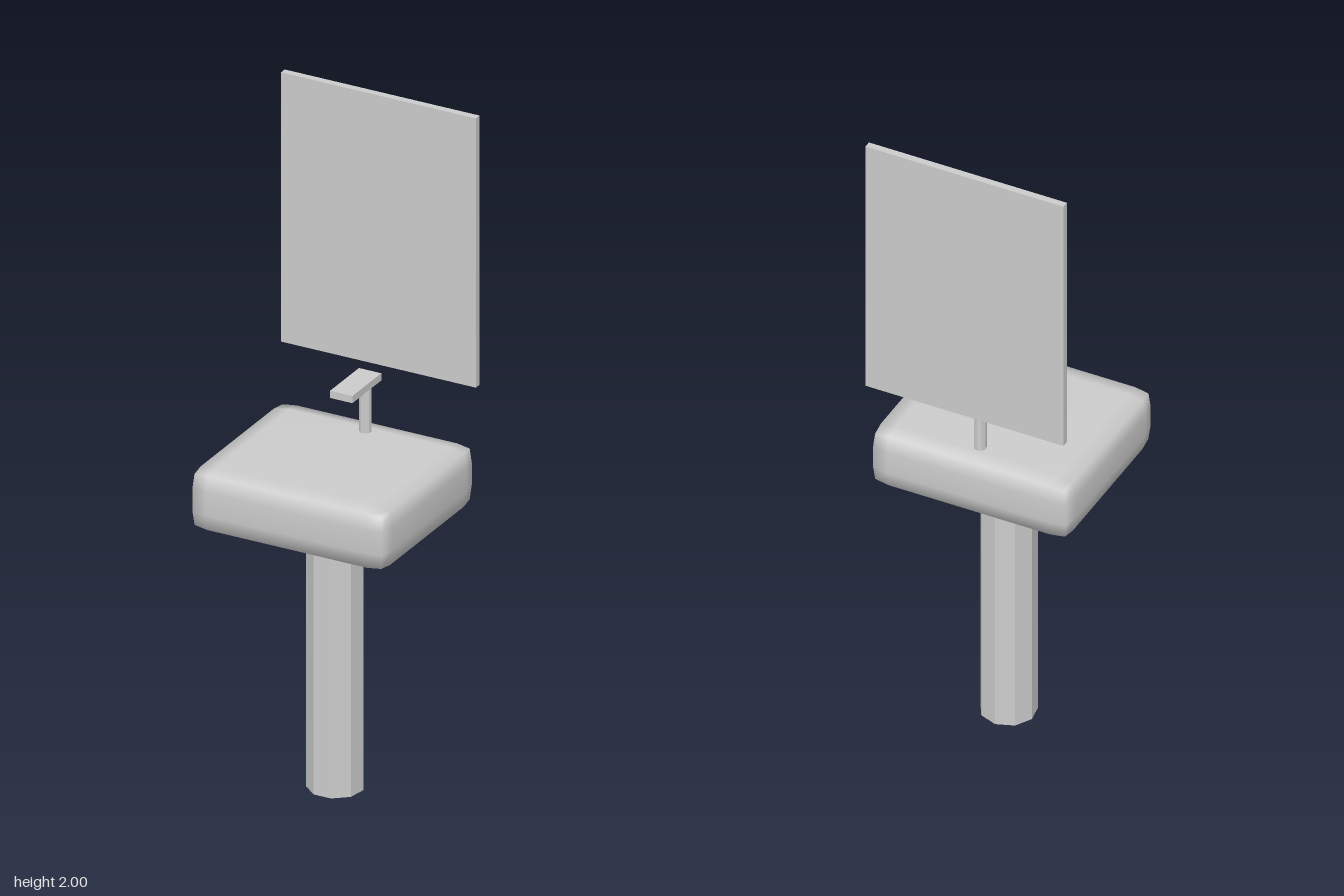
import * as THREE from 'three';
import { RoundedBoxGeometry } from 'three/addons/geometries/RoundedBoxGeometry.js';
import { mergeVertices } from 'three/addons/utils/BufferGeometryUtils.js';

const smooth = new THREE.MeshStandardMaterial({ color: 0xcccccc });
const faceted = new THREE.MeshStandardMaterial({ color: 0xcccccc, flatShading: true });

function part(name, geometry, material, x, y, z) {
  const mesh = new THREE.Mesh(geometry, material);
  mesh.name = name;
  mesh.position.set(x, y, z);
  return mesh;
}

// Two-step bevelled box whose bevel follows a squarish superellipse
function pillowBox(w, h, d, r, power) {
  let g = new RoundedBoxGeometry(w, h, d, 1, r);
  const half = [w / 2 - r, h / 2 - r, d / 2 - r];
  const p = g.attributes.position;
  for (let i = 0; i < p.count; i++) {
    const v = [p.getX(i), p.getY(i), p.getZ(i)];
    const off = v.map((c, k) => Math.max(0, Math.abs(c) - half[k]) / r);
    const len = off.reduce((s, o) => s + o ** power, 0) ** (1 / power);
    const q = v.map((c, k) => Math.sign(c) * (half[k] + (r * off[k]) / len));
    p.setXYZ(i, ...q);
  }
  g.deleteAttribute('uv');
  g.deleteAttribute('normal');
  g = mergeVertices(g, 1e-4);
  g.computeVertexNormals();
  return g;
}

// Nine-sided column with one corner pointing to the back
const column = (r, h) => new THREE.CylinderGeometry(r, r, h, 9, 1, false, Math.PI);

export function createModel() {
  const group = new THREE.Group();
  group.name = 'pedestalSinkWithMirror';

  group.add(part('pedestal', column(0.081, 0.84), faceted, 0, 0.42, -0.01));
  group.add(part('basin', pillowBox(0.61, 0.18, 0.53, 0.055, 4.27), smooth, 0, 0.92, 0.01));

  // Tap
  const tap = new THREE.Group();
  tap.name = 'tap';
  tap.add(part('tapPost', column(0.018, 0.16), faceted, 0, 1.085, -0.181));
  tap.add(part('tapSpout', new THREE.BoxGeometry(0.07, 0.022, 0.165), faceted, 0, 1.171, -0.125));
  group.add(tap);

  group.add(part('mirror', new THREE.BoxGeometry(0.61, 0.82, 0.021), faceted, 0, 1.59, -0.266));
  return group;
}
